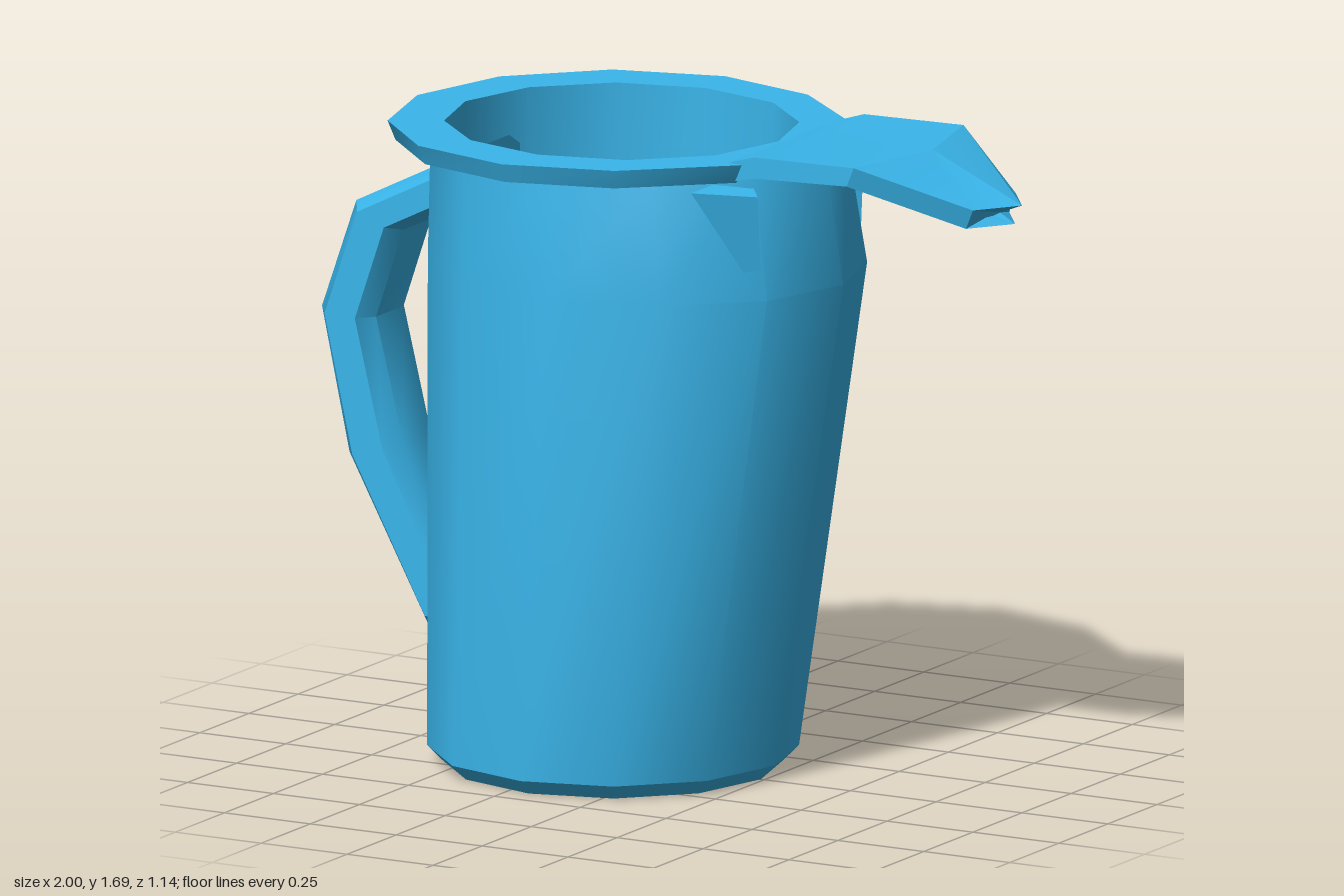
import * as THREE from 'three';
import { toCreasedNormals } from 'three/addons/utils/BufferGeometryUtils.js';
import { ConvexGeometry } from 'three/addons/geometries/ConvexGeometry.js';

const SIDES = 12;
const material = new THREE.MeshStandardMaterial({ color: 0x39b5ea, side: THREE.DoubleSide });
const V = (x, y, z) => new THREE.Vector3(x, y, z);

// Horizontal elliptical ring from xMin to xMax, half depth rz
function ring(y, xMin, xMax, rz) {
  const c = (xMin + xMax) / 2, rx = (xMax - xMin) / 2;
  return Array.from({ length: SIDES }, (_, i) => {
    const a = (i / SIDES) * Math.PI * 2;
    return V(c + rx * Math.cos(a), y, rz * Math.sin(a));
  });
}

// A row collapsed to its centre, which closes the end of a skin
function cap(row) {
  const c = row.reduce((s, p) => s.add(p), V(0, 0, 0)).divideScalar(row.length);
  return row.map(() => c);
}

// Skin closed cross-sections into one surface
function skin(name, rows, crease = 0.6) {
  const pos = [];
  const tri = (a, b, c) => {
    if (a.equals(b) || b.equals(c) || a.equals(c)) return;
    for (const p of [a, b, c]) pos.push(p.x, p.y, p.z);
  };
  for (let i = 0; i < rows.length - 1; i++) {
    const n = rows[i].length;
    for (let j = 0; j < n; j++) {
      const k = (j + 1) % n;
      tri(rows[i][j], rows[i + 1][j], rows[i][k]);
      tri(rows[i + 1][j], rows[i + 1][k], rows[i][k]);
    }
  }
  const g = new THREE.BufferGeometry();
  g.setAttribute('position', new THREE.Float32BufferAttribute(pos, 3));
  g.computeVertexNormals();
  const mesh = new THREE.Mesh(toCreasedNormals(g, crease), material);
  mesh.name = name;
  return mesh;
}

// Rim outline, pulled out at the front to meet the spout
function rimRing(y, r, inset) {
  const row = ring(y, -0.19 - r, -0.19 + r, r);
  row[0].x = 0.43 - inset;
  for (const [i, s] of [[1, 1], [SIDES - 1, -1]]) row[i].set(0.34 - inset, y, s * (0.28 - inset / 2));
  return row;
}

export function createModel() {
  const model = new THREE.Group();

  // Tapered body leaning out towards the spout
  const base = ring(0, -0.62, 0.24, 0.43);
  const neck = ring(1.62, -0.66, 0.43, 0.47);
  model.add(skin('body', [
    cap(base), base,
    ring(0.04, -0.66, 0.28, 0.47),
    ring(1.31, -0.66, 0.48, 0.51),
    neck,
  ]));

  // Flat rim around the opening
  const opening = ring(1.66, -0.62, 0.29, 0.43);
  model.add(skin('rim', [
    ring(1.61, -0.64, 0.4, 0.45),
    rimRing(1.61, 0.55, 0.02),
    rimRing(1.66, 0.57, 0),
    opening,
  ]));

  // Inner wall and floor
  const floor = ring(0.08, -0.61, 0.22, 0.415);
  model.add(skin('lining', [opening, floor, cap(floor)]));

  // Spout plate: edge x, middle x, half width, top y, bottom y, bottom setback
  const spout = [
    [0.3, 0.3, 0.27, 1.66, 1.61, 0],
    [0.38, 0.42, 0.28, 1.685, 1.63, 0],
    [0.67, 0.74, 0.28, 1.69, 1.64, 0.02],
    [0.92, 1.0, 0.11, 1.575, 1.525, 0.02],
  ].map(([xe, xm, h, t, b, d]) => [
    V(xe, t, h), V(xm, t, 0), V(xe, t, -h),
    V(xe - d, b, -h), V(xm - d, b, 0), V(xe - d, b, h),
  ]);
  model.add(skin('spout', [cap(spout[0]), ...spout, cap(spout[3])], 0.3));

  // Small gussets joining the body to the spout
  for (const s of [1, -1]) {
    const gusset = new THREE.Mesh(new ConvexGeometry([
      V(0.385, 1.31, 0.25 * s), V(0.26, 1.6, 0.39 * s),
      V(0.385, 1.58, 0.27 * s), V(0.3, 1.62, 0.18 * s),
    ]), material);
    gusset.name = s > 0 ? 'leftGusset' : 'rightGusset';
    model.add(gusset);
  }

  // Handle: outer and inner points along its curve, with a chamfered section
  const handle = [
    [-0.53, 1.57, -0.53, 1.44],
    [-0.9, 1.385, -0.76, 1.325],
    [-1.0, 1.1, -0.84, 1.09],
    [-0.92, 0.73, -0.76, 0.77],
    [-0.675, 0.28, -0.65, 0.54],
    [-0.615, 0.29, -0.615, 0.45],
  ].map(([ox, oy, ix, iy]) => {
    const at = (t, z) => V(ox + (ix - ox) * t, oy + (iy - oy) * t, z);
    return [
      at(0, -0.065), at(0, 0.065), at(0.25, 0.122), at(0.8, 0.122),
      at(1, 0.07), at(1, -0.07), at(0.8, -0.122), at(0.25, -0.122),
    ];
  });
  model.add(skin('handle', [cap(handle[0]), ...handle, cap(handle[5])]));

  return model;
}
